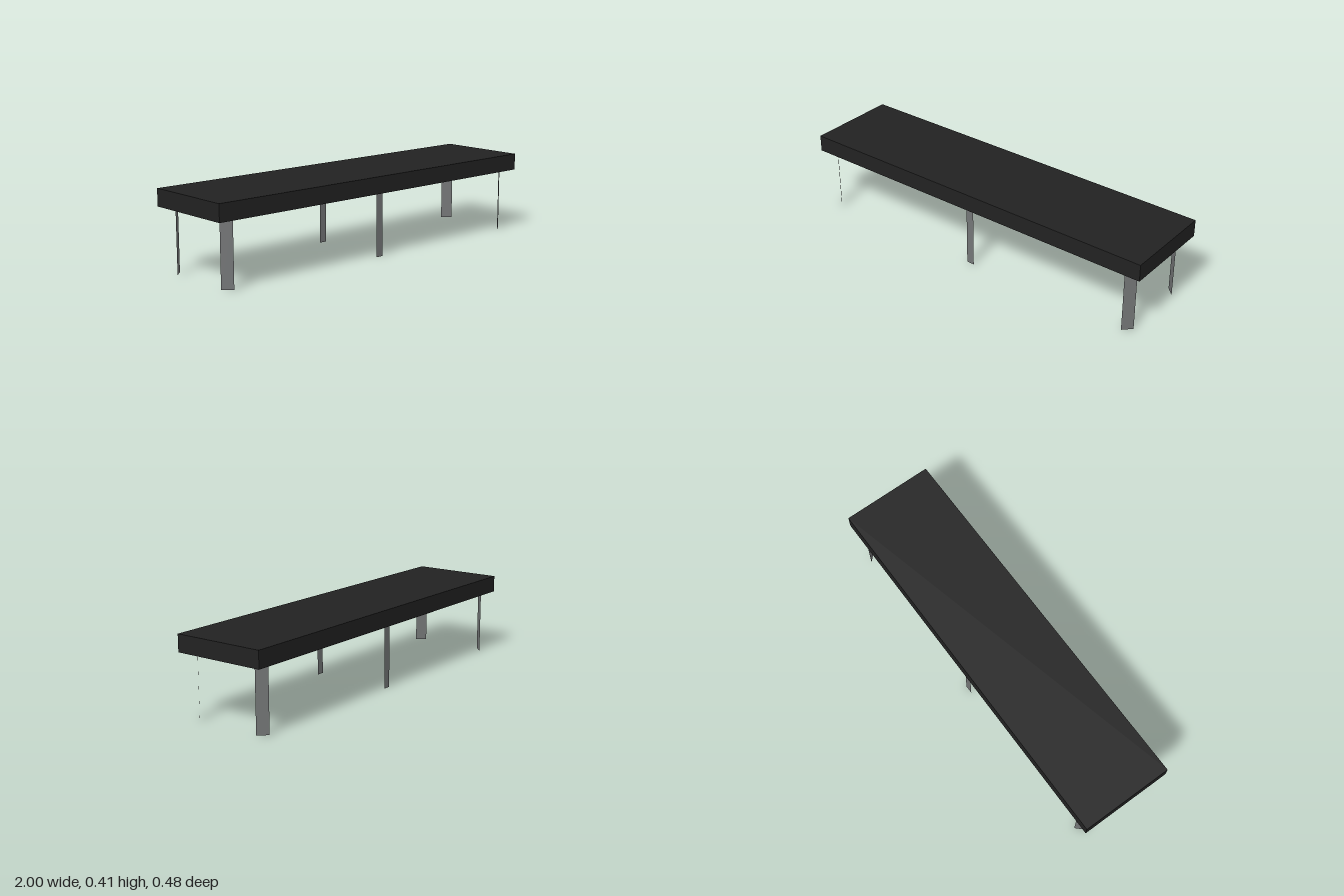
import * as THREE from 'three';

export function createModel() {
  const model = new THREE.Group();
  model.name = 'bench';

  const slabMaterial = new THREE.MeshStandardMaterial({ color: 0x222222 });
  slabMaterial.name = 'black slab';
  const legMaterial = new THREE.MeshStandardMaterial({ color: 0x747677, side: THREE.DoubleSide });
  legMaterial.name = 'grey metal';

  const legHeight = 0.328;
  const slabHeight = 0.087;

  // Thick slab
  const slab = new THREE.Mesh(new THREE.BoxGeometry(2, slabHeight, 0.484), slabMaterial);
  slab.name = 'slab';
  slab.position.y = legHeight + slabHeight / 2;
  model.add(slab);

  // Flat sheet legs
  function addLeg(name, width, x, z, turn) {
    const leg = new THREE.Mesh(new THREE.PlaneGeometry(width, legHeight), legMaterial);
    leg.name = name;
    leg.position.set(x, legHeight / 2, z);
    leg.rotation.y = turn;
    model.add(leg);
  }

  for (const sz of [1, -1]) {
    const end = sz > 0 ? 'front' : 'back';
    // Middle legs face straight out
    addLeg(end + 'MiddleLeg', 0.042, 0, sz * 0.213, sz > 0 ? 0 : Math.PI);
    // Corner legs face diagonally outward
    for (const sx of [1, -1]) {
      addLeg(end + (sx > 0 ? 'Left' : 'Right') + 'Leg', 0.06, sx * 0.927, sz * 0.193, Math.atan2(sx, sz));
    }
  }
  return model;
}
